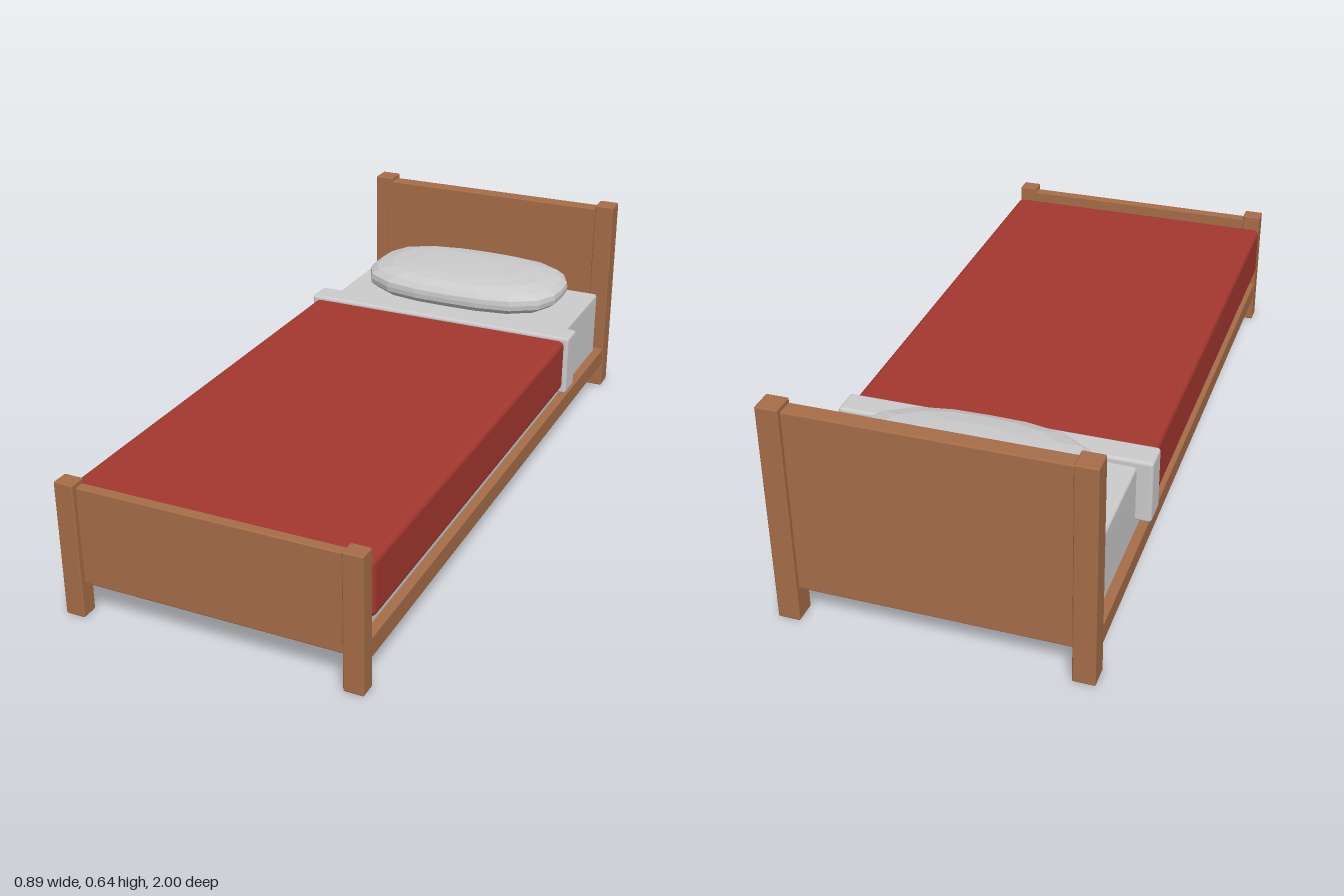
import * as THREE from 'three';
import { RoundedBoxGeometry } from 'three/addons/geometries/RoundedBoxGeometry.js';

const wood = new THREE.MeshStandardMaterial({ color: 0xa66d48 });
const red = new THREE.MeshStandardMaterial({ color: 0xa3382f });
const grey = new THREE.MeshStandardMaterial({ color: 0xcccccc });
const pillowGrey = new THREE.MeshStandardMaterial({ color: 0xcccccc, flatShading: true });

// Bevelled box given by its extents on each axis
function box(name, [x0, x1], [y0, y1], [z0, z1], material, bevel = 0.004) {
  const geometry = new RoundedBoxGeometry(x1 - x0, y1 - y0, z1 - z0, 2, bevel);
  const mesh = new THREE.Mesh(geometry, material);
  mesh.position.set((x0 + x1) / 2, (y0 + y1) / 2, (z0 + z1) / 2);
  mesh.name = name;
  return mesh;
}

// Cushion: a low-poly sphere squared off by a p-norm
function makePillow() {
  const geometry = new THREE.SphereGeometry(1, 20, 12);
  const p = geometry.attributes.position;
  const v = new THREE.Vector3();
  const n = 2.9;
  for (let i = 0; i < p.count; i++) {
    v.fromBufferAttribute(p, i);
    const norm = (Math.abs(v.x) ** n + Math.abs(v.y) ** n + Math.abs(v.z) ** n) ** (1 / n);
    v.divideScalar(norm);
    p.setXYZ(i, v.x * 0.333, v.y * 0.055, v.z * 0.203);
  }
  geometry.computeVertexNormals();
  const pillow = new THREE.Mesh(geometry, pillowGrey);
  pillow.position.set(0, 0.396, -0.737);
  pillow.name = 'pillow';
  return pillow;
}

export function createModel() {
  const bed = new THREE.Group();
  bed.name = 'bed';

  // Posts and side rails, mirrored
  for (const [side, s] of [['left', 1], ['right', -1]]) {
    const span = (a, b) => (s > 0 ? [a, b] : [-b, -a]);
    bed.add(
      box(`${side}HeadPost`, span(0.367, 0.428), [0, 0.642], [-1, -0.935], wood),
      box(`${side}FootPost`, span(0.372, 0.428), [0, 0.39], [0.95, 1], wood),
      box(`${side}SideRail`, span(0.385, 0.426), [0.08, 0.137], [-0.94, 0.955], wood),
    );
  }

  // End boards and the base under the mattress
  bed.add(
    box('headboard', [-0.375, 0.375], [0.096, 0.63], [-0.986, -0.938], wood),
    box('footboard', [-0.38, 0.38], [0.096, 0.377], [0.954, 0.984], wood),
    box('mattressBase', [-0.392, 0.392], [0.092, 0.134], [-0.942, 0.957], wood),
  );

  // Bedding
  bed.add(
    box('mattress', [-0.4, 0.4], [0.13, 0.343], [-0.916, 0.93], grey, 0.01),
    box('blanket', [-0.431, 0.431], [0.187, 0.351], [-0.475, 0.947], red, 0.018),
    box('foldedSheet', [-0.444, 0.444], [0.172, 0.362], [-0.546, -0.461], grey, 0.01),
    makePillow(),
  );
  return bed;
}
